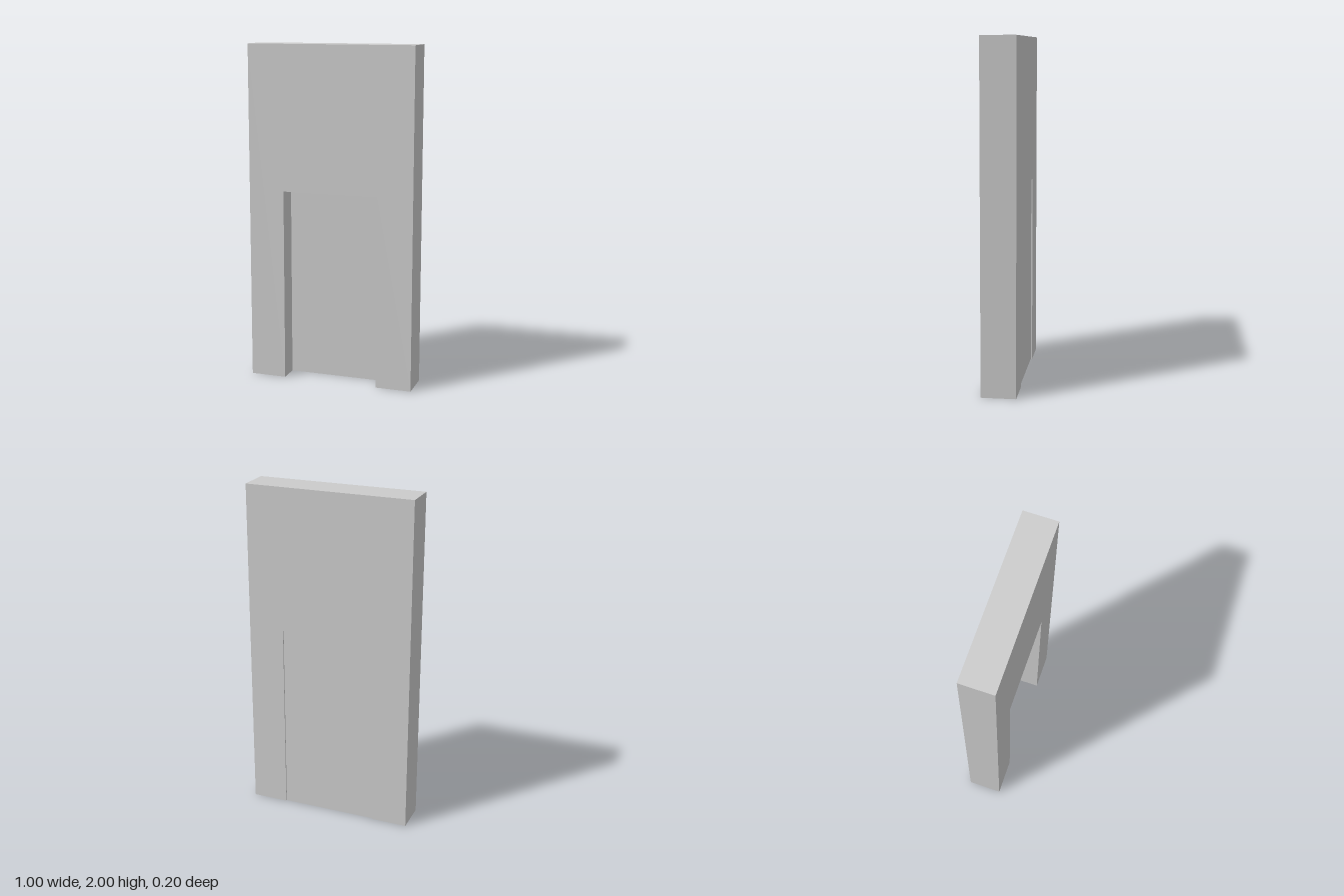
import * as THREE from 'three';

export function createModel() {
  const group = new THREE.Group();
  const material = new THREE.MeshStandardMaterial({ color: 0xcccccc });
  const halfW = 0.5, height = 2, depth = 0.2;
  const doorHalfW = 0.286, doorH = 1.143;

  // Wall outline with a doorway notch open to the floor
  const outline = [
    [-halfW, 0], [-doorHalfW, 0], [-doorHalfW, doorH], [doorHalfW, doorH],
    [doorHalfW, 0], [halfW, 0], [halfW, height], [-halfW, height],
  ].map(([x, y]) => new THREE.Vector2(x, y));
  const wallGeometry = new THREE.ExtrudeGeometry(new THREE.Shape(outline), { depth, bevelEnabled: false });
  wallGeometry.translate(0, 0, -depth / 2);
  const wall = new THREE.Mesh(wallGeometry, material);
  wall.name = 'wall';
  group.add(wall);

  // Door panel: deep recess in front, slight recess at the back
  const front = -0.023, back = -0.092;
  const door = new THREE.Mesh(new THREE.BoxGeometry(doorHalfW * 2, doorH, front - back), material);
  door.position.set(0, doorH / 2, (front + back) / 2);
  door.name = 'doorPanel';
  group.add(door);

  return group;
}
